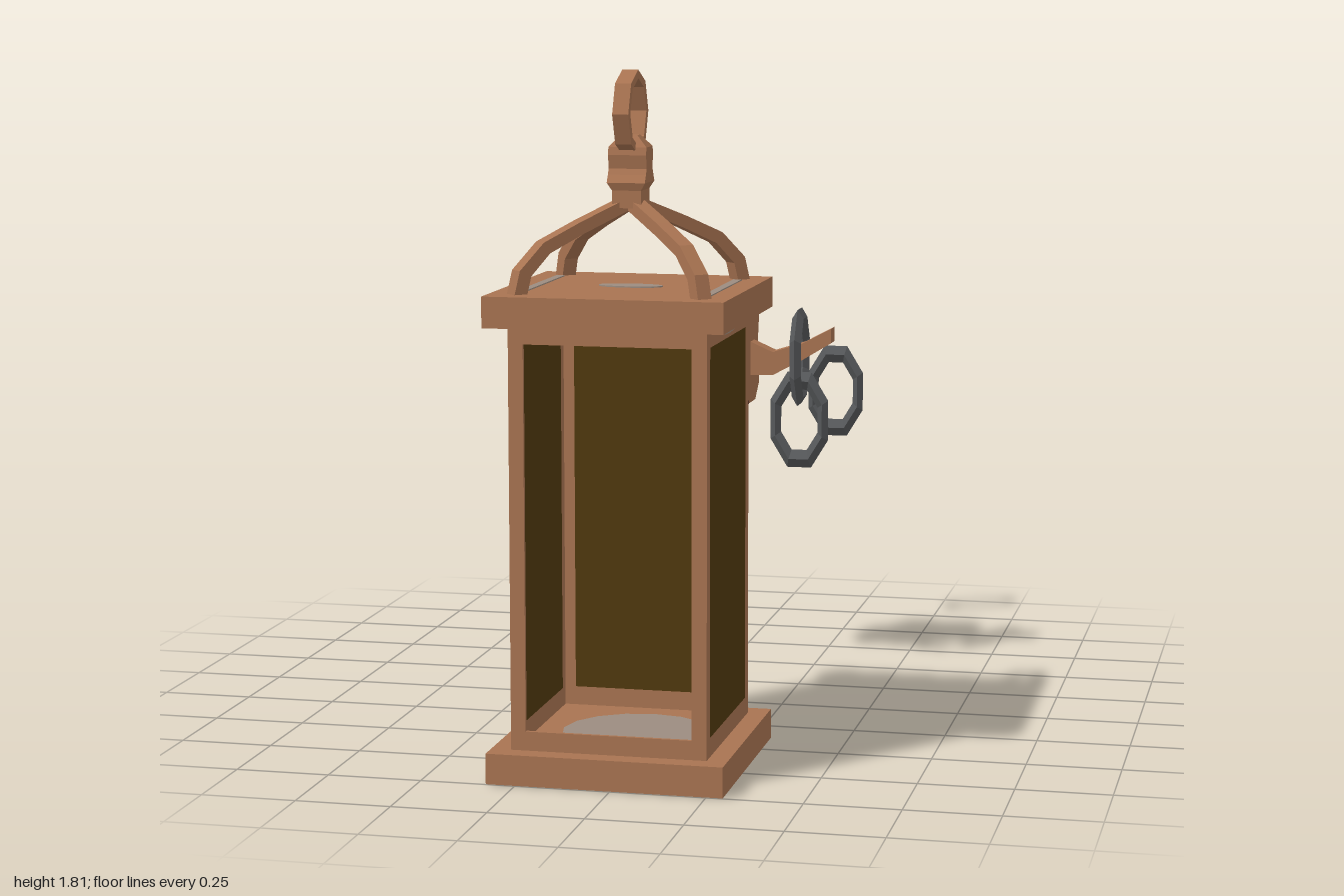
import * as THREE from 'three';

const mat = (name, color) => {
  const m = new THREE.MeshStandardMaterial({ color, flatShading: true });
  m.name = name;
  return m;
};

export function createModel() {
  const copper = mat('copper', 0xa87351);
  const glass = mat('smoked glass', 0x50390e);
  const iron = mat('grey iron', 0x56585a);
  const worn = mat('worn metal', 0x9b8c80);
  const tarnish = mat('dark tarnish', 0x34171a);

  const model = new THREE.Group();
  const add = (parent, name, geo, material, x = 0, y = 0, z = 0) => {
    const m = new THREE.Mesh(geo, material);
    m.name = name;
    m.position.set(x, y, z);
    parent.add(m);
    return m;
  };
  const box = (w, h, d) => new THREE.BoxGeometry(w, h, d);
  const shapeOf = pts => new THREE.Shape(pts.map(p => new THREE.Vector2(p[0], p[1])));
  const extrude = (shape, depth) => new THREE.ExtrudeGeometry(shape, { depth, bevelEnabled: false });
  // thin flat oval lying in the ground plane
  const oval = (rx, rz) => new THREE.CylinderGeometry(1, 1, 0.005, 16).scale(rx, 1, rz);

  // ---- Lantern ----
  const lantern = new THREE.Group();
  lantern.name = 'lantern';
  lantern.position.set(-0.016, 0, 0.69);
  model.add(lantern);

  add(lantern, 'base', box(0.62, 0.08, 0.62), copper, 0, 0.04, 0);
  add(lantern, 'cap', box(0.62, 0.08, 0.62), copper, 0, 1.215, 0);

  // four thin framed walls; the front one stays open
  const half = 0.257, t = 0.01, bottom = 0.08, top = 1.175;
  const rect = (w, y0, y1) => [[-w, y0], [w, y0], [w, y1], [-w, y1]];
  for (let i = 0; i < 4; i++) {
    const wall = new THREE.Group();
    wall.name = ['frontWall', 'leftWall', 'backWall', 'rightWall'][i];
    wall.rotation.y = i * Math.PI / 2;
    lantern.add(wall);
    const frame = shapeOf(rect(half, bottom, top));
    frame.holes.push(new THREE.Path(rect(0.218, 0.13, 1.13).reverse().map(p => new THREE.Vector2(...p))));
    add(wall, 'wallFrame', extrude(frame, t), copper, 0, 0, half - t);
    if (i > 0) add(wall, 'glassPane', box(0.436, 1.0, t), glass, 0, 0.63, half - t / 2);
  }

  // worn spots on the base, cap and side walls
  add(lantern, 'floorWear', oval(0.2, 0.19), worn, 0.02, 0.082, 0.02);
  add(lantern, 'undersideWear', oval(0.27, 0.25), worn, 0, 0.0015, 0);
  add(lantern, 'capWear', oval(0.085, 0.035), worn, 0, 1.256, 0);
  for (const s of [-1, 1]) {
    add(lantern, 'capEdgeWear', box(0.022, 0.004, 0.39), worn, s * 0.24, 1.256, 0);
    add(lantern, 'eaveWear', box(0.03, 0.004, 0.4), worn, s * 0.28, 1.174, 0);
    const spot = add(lantern, 'wallWear', oval(0.014, 0.1), worn, s * half, 1.155, 0);
    spot.rotation.z = Math.PI / 2;
  }

  // four curved stays rising from the corners to the finial
  const stay = shapeOf([
    [0.355, 1.25], [0.338, 1.315], [0.268, 1.383], [0.16, 1.43], [0.02, 1.485],
    [0.02, 1.452], [0.15, 1.4], [0.25, 1.355], [0.305, 1.3], [0.318, 1.25]]);
  for (let i = 0; i < 4; i++) {
    const pivot = new THREE.Group();
    pivot.name = 'stay';
    pivot.rotation.y = Math.PI / 4 + i * Math.PI / 2;
    lantern.add(pivot);
    add(pivot, 'stayBar', extrude(stay, 0.04), copper, 0, 0, -0.02);
  }

  // finial: stacked rectangular sections [y, half x, half z]
  const sections = [
    [1.46, 0.038, 0.046], [1.505, 0.038, 0.046], [1.525, 0.05, 0.053], [1.545, 0.05, 0.04],
    [1.56, 0.05, 0.032], [1.595, 0.05, 0.038], [1.615, 0.05, 0.034], [1.645, 0.022, 0.016]];
  const pos = [], idx = [];
  sections.forEach(([y, a, b], k) => {
    pos.push(-a, y, b, a, y, b, a, y, -b, -a, y, -b);
    if (k === 0) return;
    for (let j = 0; j < 4; j++) {
      const p = (k - 1) * 4 + j, q = (k - 1) * 4 + (j + 1) % 4;
      idx.push(p, q, q + 4, p, q + 4, p + 4);
    }
  });
  const e = (sections.length - 1) * 4;
  idx.push(e, e + 1, e + 2, e, e + 2, e + 3, 0, 2, 1, 0, 3, 2);
  const finialGeo = new THREE.BufferGeometry();
  finialGeo.setAttribute('position', new THREE.Float32BufferAttribute(pos, 3));
  finialGeo.setIndex(idx);
  finialGeo.computeVertexNormals();
  add(lantern, 'finial', finialGeo, copper);

  // octagonal carrying ring
  const octagon = r => Array.from({ length: 8 }, (_, i) => {
    const a = (i + 0.0) * Math.PI / 4;
    return new THREE.Vector2(Math.cos(a) * r, Math.sin(a) * r);
  });
  const ringShape = new THREE.Shape(octagon(0.109));
  ringShape.holes.push(new THREE.Path(octagon(0.087).reverse()));
  const ringGeo = extrude(ringShape, 0.042).translate(0, 0, -0.021).rotateY(Math.PI / 2);
  add(lantern, 'carryingRing', ringGeo, copper, 0, 1.702, 0);

  // ---- Wall bracket ----
  const bracket = new THREE.Group();
  bracket.name = 'bracket';
  bracket.position.set(0, 0, -0.378);
  model.add(bracket);

  // waisted block, outline as [z, y]
  const outline = [
    [-0.045, 0.805], [0.045, 0.805], [0.1, 0.85], [0.077, 0.96], [0.1, 1.06],
    [0.045, 1.115], [-0.045, 1.115], [-0.1, 1.06], [-0.077, 0.96], [-0.1, 0.85]];
  const blockGeo = extrude(shapeOf(outline), 0.2).rotateY(Math.PI / 2);
  add(bracket, 'bracketBlock', blockGeo, copper, -0.115, 0, 0);

  // tinted plates over single faces of the block
  const facePlate = (name, i, material, width, x) => {
    const [z0, y0] = outline[i], [z1, y1] = outline[i + 1];
    const p = add(bracket, name, box(width, Math.hypot(z1 - z0, y1 - y0), 0.006), material,
      x, (y0 + y1) / 2, (z0 + z1) / 2);
    p.rotation.x = Math.atan2(z1 - z0, y1 - y0);
  };
  facePlate('lowerTarnish', 1, tarnish, 0.2, -0.015);
  facePlate('waistTarnish', 3, tarnish, 0.2, -0.015);
  facePlate('upperTarnish', 4, tarnish, 0.2, -0.015);
  facePlate('backWear', 8, worn, 0.1, 0.02);

  // hook arm, bent upward at its tip
  const arm = shapeOf([
    [0.07, 0.885], [0.15, 0.887], [0.24, 0.935], [0.322, 0.985],
    [0.322, 1.027], [0.24, 0.983], [0.15, 0.955], [0.07, 0.99]]);
  add(bracket, 'hookArm', extrude(arm, 0.055), copper, 0, 0, -0.0275);

  // faceted oval chain links
  const linkGeo = new THREE.TorusGeometry(0.075, 0.017, 4, 8)
    .rotateZ(Math.PI / 8).scale(1, 1.65, 1);
  const link = (name, y, z, turn) => {
    add(model, name, linkGeo, iron, 0.225, y, z).rotation.y = turn;
  };
  link('upperLink', 0.94, -0.378, Math.PI / 2);
  link('lowerLink', 0.755, -0.378, 0);
  link('looseLink', 0.755, -0.983, 0);

  return model;
}
